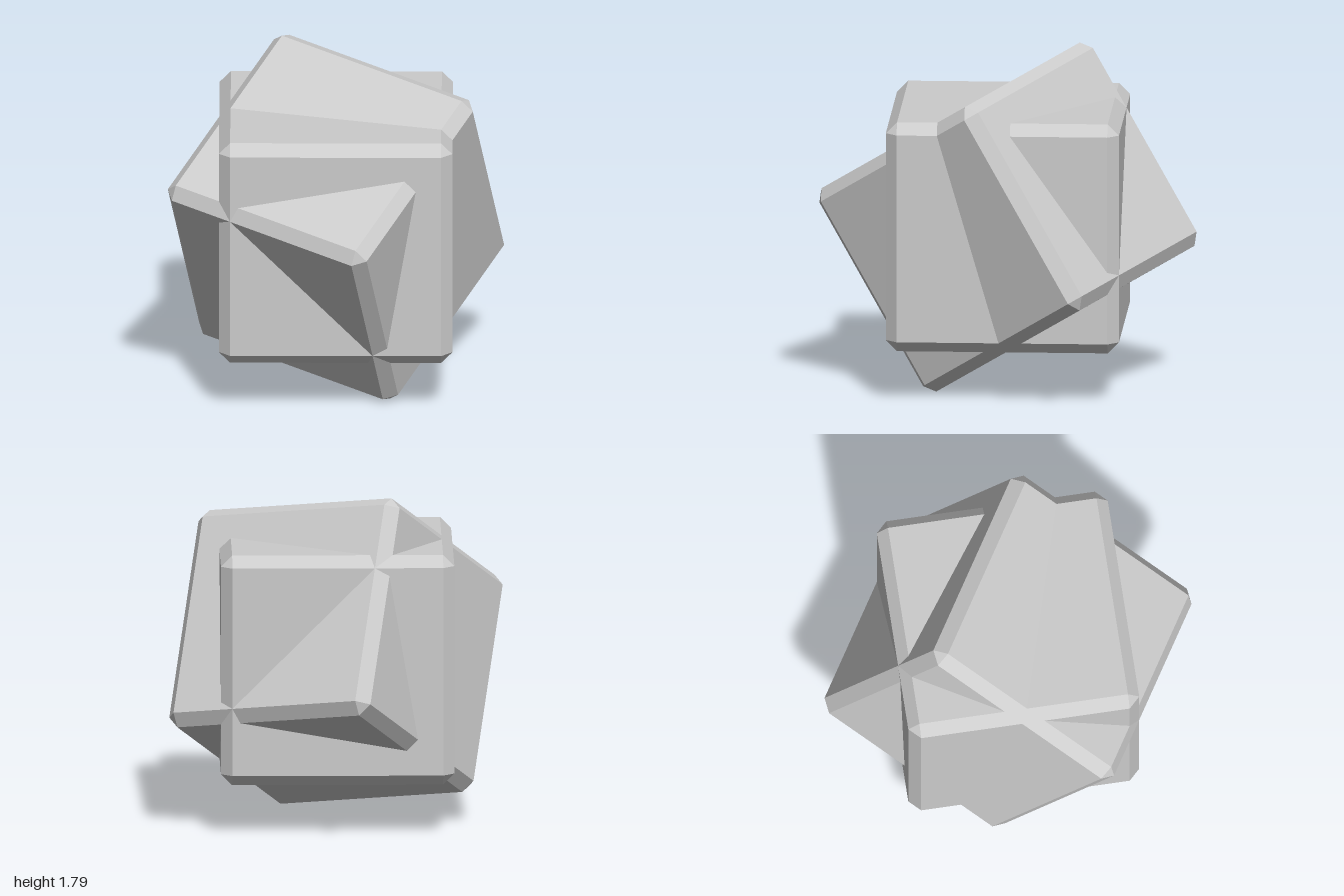
import * as THREE from 'three';
import { ConvexGeometry } from 'three/addons/geometries/ConvexGeometry.js';

const HALF = 0.621; // half the cube's side
const BEVEL = 0.06; // width of the chamfer along each face

// Cube with chamfered edges and a small triangle at each corner
function chamferedCube(half, bevel) {
  const inner = half - bevel;
  const points = [];
  for (const x of [-1, 1]) for (const y of [-1, 1]) for (const z of [-1, 1]) {
    points.push(
      new THREE.Vector3(x * half, y * inner, z * inner),
      new THREE.Vector3(x * inner, y * half, z * inner),
      new THREE.Vector3(x * inner, y * inner, z * half)
    );
  }
  return new ConvexGeometry(points);
}

export function createModel() {
  const group = new THREE.Group();
  group.name = 'interlockedCubes';
  const geometry = chamferedCube(HALF, BEVEL);
  const material = new THREE.MeshStandardMaterial({ color: 0xcccccc, flatShading: true });

  const addCube = (name) => {
    const cube = new THREE.Mesh(geometry, material);
    cube.name = name;
    cube.position.y = 0.893;
    group.add(cube);
    return cube;
  };

  // Upright cube, and its twin turned 45 degrees about a face diagonal
  addCube('uprightCube');
  const axis = new THREE.Vector3(1, -1, 0).normalize();
  addCube('tiltedCube').quaternion.setFromAxisAngle(axis, Math.PI / 4);

  return group;
}
